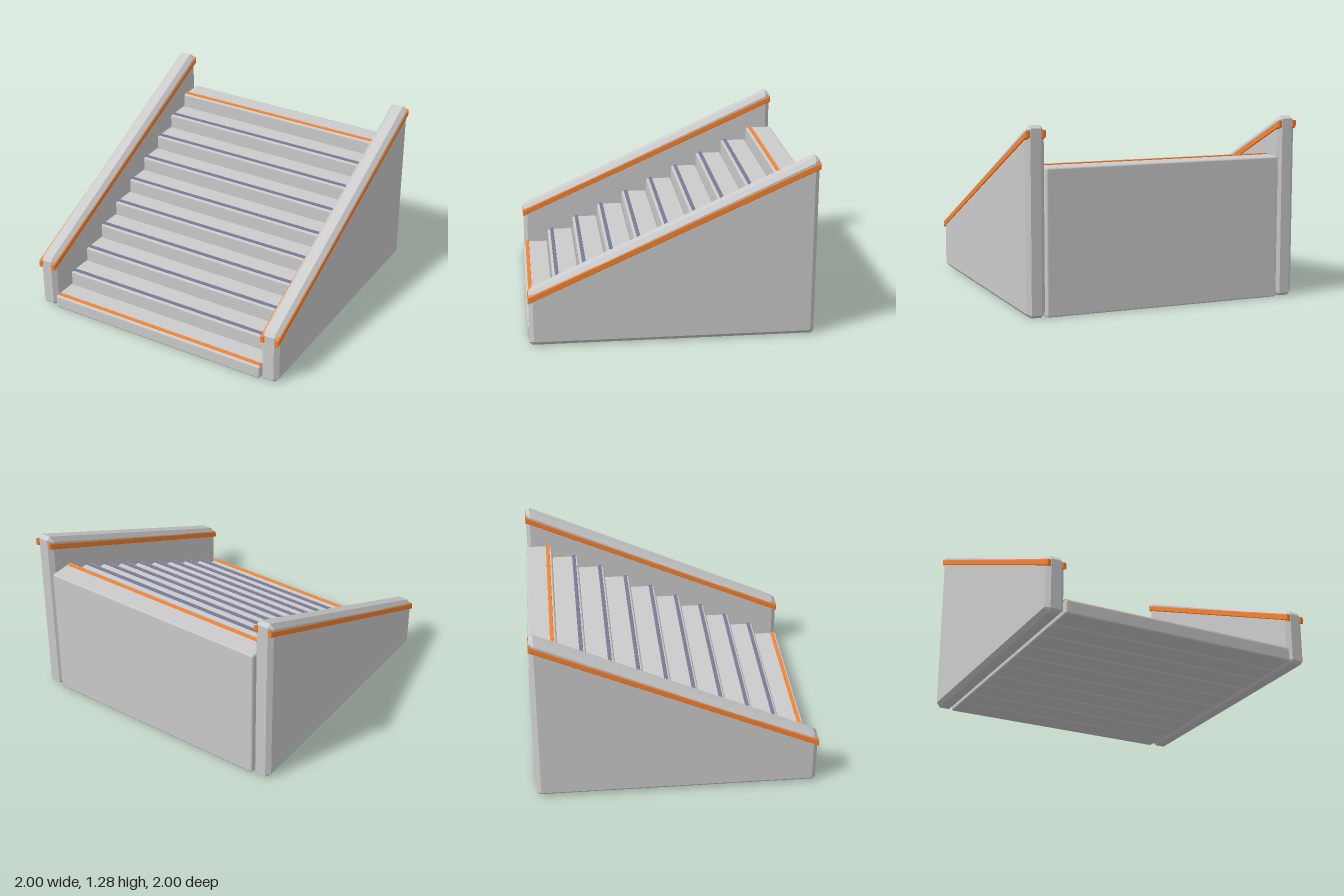
import * as THREE from 'three';
import { RoundedBoxGeometry } from 'three/addons/geometries/RoundedBoxGeometry.js';

const grey = new THREE.MeshStandardMaterial({ color: 0xcccccc });
const orange = new THREE.MeshStandardMaterial({ color: 0xf58433 });
const slate = new THREE.MeshStandardMaterial({ color: 0x7a7c98 });

const STEPS = 10, DEPTH = 0.2, RISE = 0.1, WIDTH = 1.722;

function block(name, w, h, d, x, y, z, radius, material) {
  const mesh = new THREE.Mesh(new RoundedBoxGeometry(w, h, d, 1, radius), material);
  mesh.name = name;
  mesh.position.set(x, y, z);
  return mesh;
}

// Side wall: sloped outline in (z, y), extruded along x with bevelled edges
function wallGeometry() {
  const outline = [
    [-0.97, 0], [0.97, 0], [0.99, 0.02], [0.99, 0.37], [0.965, 0.4],
    [-0.96, 1.28], [-0.99, 1.26], [-0.99, 0.02],
  ];
  const shape = new THREE.Shape(outline.map(([z, y]) => new THREE.Vector2(-z, y)));
  const bevel = 0.03, thickness = 0.132;
  const geometry = new THREE.ExtrudeGeometry(shape, {
    depth: thickness - 2 * bevel,
    bevelThickness: bevel, bevelSize: bevel, bevelOffset: -bevel, bevelSegments: 1,
  });
  geometry.translate(0, 0, bevel - thickness / 2);
  geometry.rotateY(Math.PI / 2);
  return geometry;
}

// Trim bar following the wall's slope, with vertical ends
function trimGeometry() {
  const shape = new THREE.Shape([
    new THREE.Vector2(-0.995, 0.31), new THREE.Vector2(0.995, 1.2),
    new THREE.Vector2(0.995, 1.25), new THREE.Vector2(-0.995, 0.36),
  ]);
  const bevel = 0.007, width = 0.032;
  const geometry = new THREE.ExtrudeGeometry(shape, {
    depth: width - 2 * bevel,
    bevelThickness: bevel, bevelSize: bevel, bevelOffset: -bevel, bevelSegments: 1,
  });
  geometry.translate(0, 0, bevel - width / 2);
  geometry.rotateY(Math.PI / 2);
  return geometry;
}

export function createModel() {
  const model = new THREE.Group();
  model.name = 'staircase';

  // Solid steps, each with a strip near its front edge
  const steps = new THREE.Group();
  steps.name = 'steps';
  for (let i = 0; i < STEPS; i++) {
    const height = RISE * (i + 1);
    const front = 1 - DEPTH * i;
    steps.add(block('step', WIDTH, height, DEPTH, 0, height / 2, front - DEPTH / 2, 0.014, grey));
    const marked = i === 0 || i === STEPS - 1;
    steps.add(block(marked ? 'warningStrip' : 'gripStrip', WIDTH - 0.01, 0.014, 0.027,
      0, height, front - 0.033, 0.003, marked ? orange : slate));
  }
  model.add(steps);

  // Side walls with trims on both faces
  const wall = wallGeometry(), trim = trimGeometry();
  for (const side of [1, -1]) {
    const group = new THREE.Group();
    group.name = side > 0 ? 'leftSide' : 'rightSide';
    group.position.x = side * 0.929;
    const panel = new THREE.Mesh(wall, grey);
    panel.name = 'sideWall';
    group.add(panel);
    for (const face of [1, -1]) {
      const bar = new THREE.Mesh(trim, orange);
      bar.name = 'slopeTrim';
      bar.position.x = face * 0.055;
      group.add(bar);
    }
    model.add(group);
  }
  return model;
}
